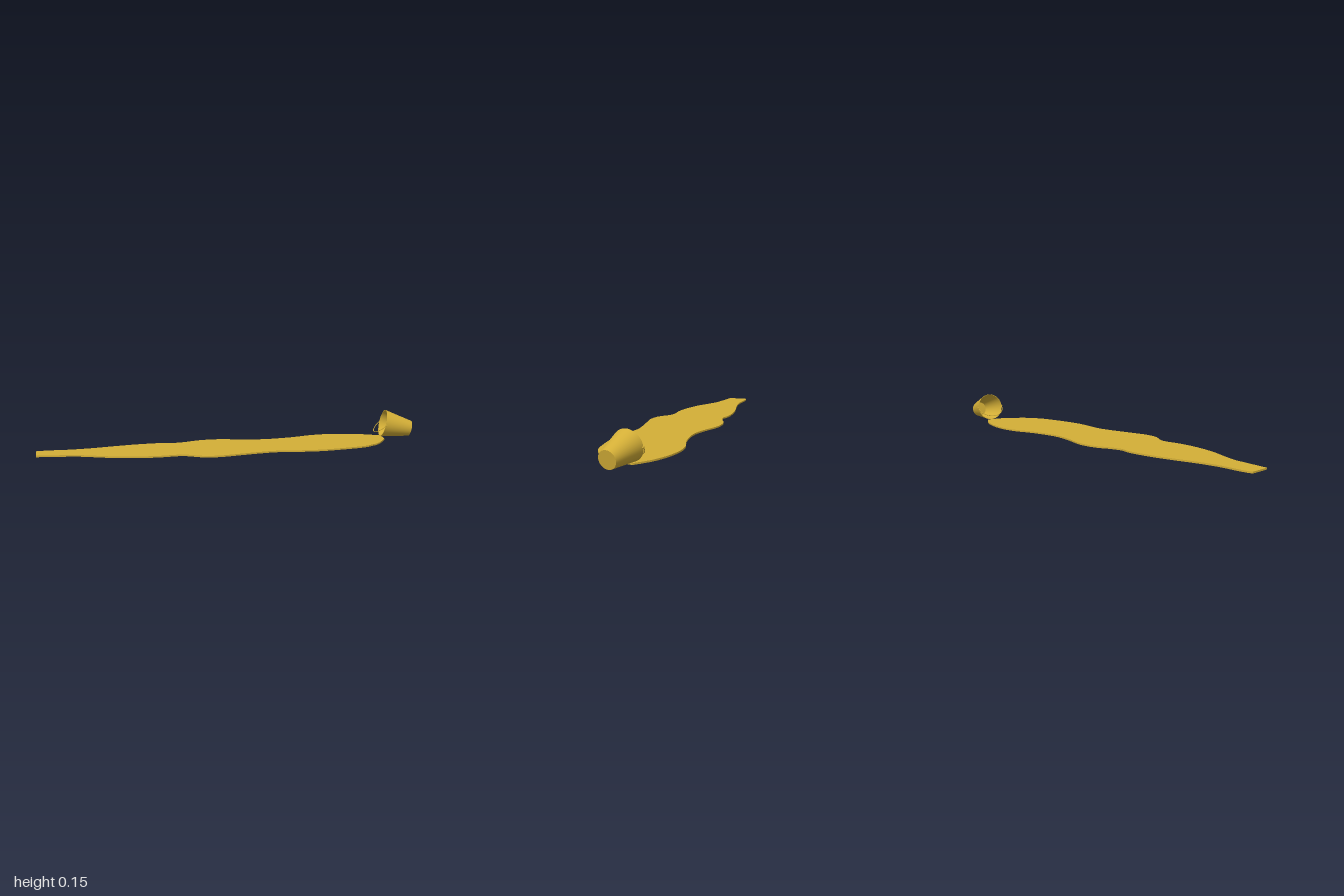
import * as THREE from 'three';

const gold = new THREE.MeshStandardMaterial({ color: 0xd4af37, side: THREE.DoubleSide });
gold.name = 'gold';

function add(parent, name, geometry) {
  const mesh = new THREE.Mesh(geometry, gold);
  mesh.name = name;
  parent.add(mesh);
  return mesh;
}

// Flat spill: wavy back and front edges as [x, z], running left to right and back
const backEdge = [
  [-1, -0.115], [-0.94, -0.12], [-0.83, -0.115], [-0.72, -0.126], [-0.6, -0.15], [-0.5, -0.166],
  [-0.4, -0.172], [-0.34, -0.168], [-0.3, -0.158], [-0.24, -0.168], [-0.17, -0.195], [-0.1, -0.203],
  [-0.03, -0.195], [0.08, -0.16], [0.2, -0.142], [0.35, -0.16], [0.45, -0.19], [0.55, -0.2],
  [0.65, -0.185], [0.74, -0.155], [0.8, -0.12], [0.84, -0.09],
];
const frontEdge = [
  [0.82, 0], [0.75, 0.09], [0.7, 0.125], [0.64, 0.155], [0.53, 0.175], [0.4, 0.188], [0.3, 0.181],
  [0.17, 0.16], [0.07, 0.168], [-0.03, 0.185], [-0.12, 0.2], [-0.17, 0.198], [-0.22, 0.185],
  [-0.28, 0.145], [-0.33, 0.132], [-0.42, 0.138], [-0.53, 0.125], [-0.64, 0.095], [-0.72, 0.06],
  [-0.8, 0.025], [-0.86, 0.012], [-1, -0.01],
];

function createSpill() {
  const smooth = (edge) =>
    new THREE.SplineCurve(edge.map(([x, z]) => new THREE.Vector2(x, -z))).getPoints(66);
  const shape = new THREE.Shape([...smooth(backEdge), ...smooth(frontEdge)]);
  const geometry = new THREE.ExtrudeGeometry(shape, { depth: 0.008, bevelEnabled: false });
  return geometry.rotateX(-Math.PI / 2);
}

// Tipped bucket, modelled with its mouth towards local +y and the mouth centre at the origin
function createBucket() {
  const bucket = new THREE.Group();
  bucket.name = 'bucket';
  const rim = 0.073, base = 0.042, wall = 0.002;
  const mouth = new THREE.Vector3(0.84, 0.081, -0.072);
  const foot = new THREE.Vector3(0.987, 0.05, -0.044);
  const length = mouth.distanceTo(foot);

  const lathe = (points) =>
    new THREE.LatheGeometry(points.map(([r, y]) => new THREE.Vector2(r, y)), 48);
  add(bucket, 'outerWall', lathe([[base, -length], [rim, 0]]));
  add(bucket, 'rim', lathe([[rim, 0], [rim - wall, 0]]));
  add(bucket, 'innerWall', lathe([[rim - wall, 0], [base - wall, wall - length]]));
  add(bucket, 'innerFloor', lathe([[base - wall, wall - length], [0, wall - length]]));
  add(bucket, 'base', lathe([[0, -length], [base, -length]]));

  // Wire handle swung down in front of the mouth, with a small pivot on each side
  const arc = [];
  for (let i = 0; i <= 16; i++) {
    const a = (i / 16) * Math.PI, reach = 0.068 * Math.sin(a);
    arc.push(new THREE.Vector3(-0.81 * reach, 0.585 * reach - 0.004, 0.075 * Math.cos(a)));
  }
  add(bucket, 'handle', new THREE.TubeGeometry(new THREE.CatmullRomCurve3(arc), 48, 0.002, 8));
  for (const side of [-1, 1]) {
    const pivot = add(bucket, 'handlePivot', new THREE.CylinderGeometry(0.004, 0.004, 0.008, 12));
    pivot.rotation.x = Math.PI / 2;
    pivot.position.set(0, -0.004, side * 0.074);
  }

  // Lay the bucket on its side
  const up = mouth.clone().sub(foot).normalize();
  const across = new THREE.Vector3(up.z, 0, -up.x).normalize();
  const over = new THREE.Vector3().crossVectors(up, across);
  bucket.quaternion.setFromRotationMatrix(new THREE.Matrix4().makeBasis(over, up, across));
  bucket.position.copy(mouth);
  return bucket;
}

export function createModel() {
  const model = new THREE.Group();
  model.name = 'spilledBucket';
  add(model, 'spill', createSpill());
  model.add(createBucket());
  return model;
}
